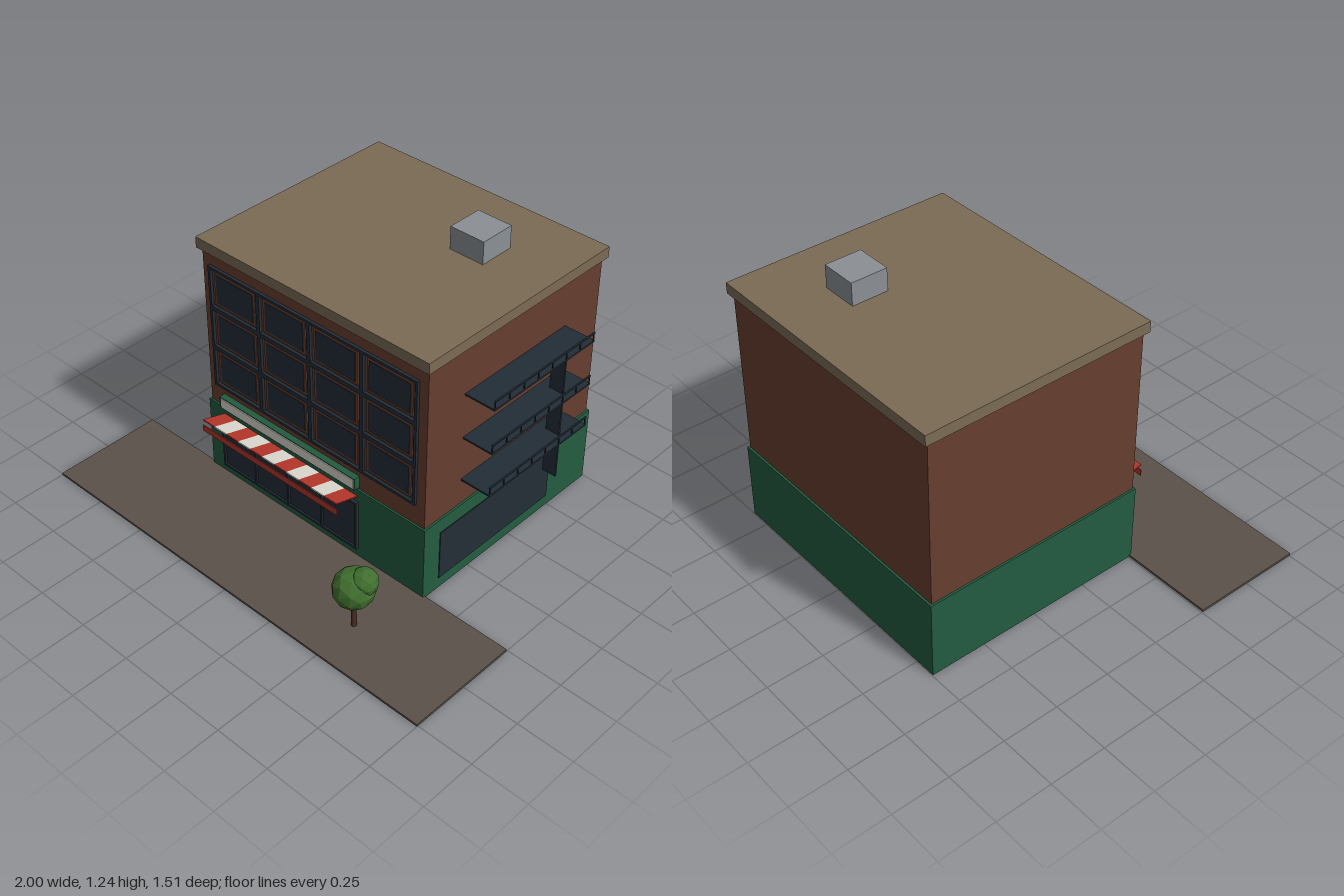
import * as THREE from 'three';

const mat = (name, color) => {
  const m = new THREE.MeshStandardMaterial({ color });
  m.name = name;
  return m;
};

export function createModel() {
  const brick = mat('brick', 0x673e2f);
  const green = mat('shop green', 0x235c40);
  const tan = mat('roof tan', 0x7b6b54);
  const paving = mat('paving', 0x5b514a);
  const slate = mat('dark slate', 0x232d37);
  const grey = mat('vent grey', 0x8b9095);
  const red = mat('awning red', 0xb5362b);
  const cream = mat('cream', 0xdcdacf);
  const bark = mat('bark', 0x4a3023);
  const leaf = mat('leaf', 0x41702f);
  leaf.flatShading = true;

  const model = new THREE.Group();
  model.name = 'cornerShopBuilding';
  const group = (name) => {
    const g = new THREE.Group();
    g.name = name;
    model.add(g);
    return g;
  };
  const add = (parent, name, geo, material) => {
    const m = new THREE.Mesh(geo, material);
    m.name = name;
    parent.add(m);
    return m;
  };
  // Box given by its extents on each axis
  const box = (parent, name, material, [x0, x1], [y0, y1], [z0, z1]) => {
    const m = add(parent, name, new THREE.BoxGeometry(x1 - x0, y1 - y0, z1 - z0), material);
    m.position.set((x0 + x1) / 2, (y0 + y1) / 2, (z0 + z1) / 2);
    return m;
  };

  // Pavement and main volumes
  box(model, 'pavement', paving, [-1, 1], [0, 0.01], [0.255, 0.755]);
  box(model, 'shopFloor', green, [-0.592, 0.592], [0, 0.35], [-0.747, 0.265]);
  box(model, 'upperFloors', brick, [-0.583, 0.583], [0.3, 1.09], [-0.738, 0.257]);
  box(model, 'roofSlab', tan, [-0.598, 0.598], [1.087, 1.135], [-0.757, 0.276]);
  box(model, 'roofVent', grey, [0.167, 0.33], [1.135, 1.235], [-0.49, -0.328]);

  // Upper windows: frame, brick surround and pane in a 4 x 3 grid
  const windows = group('windows');
  for (let col = 0; col < 4; col++) {
    for (let row = 0; row < 3; row++) {
      const cx = -0.407 + col * 0.27, cy = 0.547 + row * 0.19;
      const w = 0.138, h = 0.097, t = 0.012;
      for (const s of [-1, 1]) {
        const bar = (c, half) => (s < 0 ? [c - half, c - half + t] : [c + half - t, c + half]);
        box(windows, 'frameRail', slate, [cx - w, cx + w], bar(cy, h), [0.255, 0.27]);
        box(windows, 'frameStile', slate, bar(cx, w), [cy - h + t, cy + h - t], [0.255, 0.27]);
      }
      box(windows, 'surround', brick, [cx - 0.113, cx + 0.113], [cy - 0.077, cy + 0.077], [0.255, 0.261]);
      box(windows, 'pane', slate, [cx - 0.101, cx + 0.101], [cy - 0.065, cy + 0.065], [0.258, 0.264]);
    }
  }

  // Shop windows on the front and the side
  const shop = group('shopWindows');
  box(shop, 'frontGlass', slate, [-0.505, 0.247], [0.053, 0.287], [0.262, 0.27]);
  for (let i = 0; i <= 4; i++) {
    const x = -0.505 + i * 0.188;
    box(shop, 'mullion', slate, [x - 0.005, x + 0.005], [0.05, 0.29], [0.265, 0.278]);
  }
  for (const y of [0.05, 0.28])
    box(shop, 'shopRail', slate, [-0.51, 0.252], [y, y + 0.01], [0.265, 0.278]);
  box(shop, 'sideGlass', slate, [0.588, 0.596], [0.053, 0.285], [-0.49, 0.176]);

  // Blank sign board
  const sign = group('signBoard');
  box(sign, 'board', green, [-0.505, 0.25], [0.36, 0.415], [0.257, 0.285]);
  box(sign, 'face', cream, [-0.497, 0.244], [0.366, 0.411], [0.283, 0.289]);

  // Striped awning with a hanging front edge
  const awning = group('awning');
  const stripes = 11, width = 0.75 / stripes;
  const slope = Math.atan2(0.034, 0.115);
  for (let i = 0; i < stripes; i++) {
    const s = add(awning, 'stripe', new THREE.BoxGeometry(width, 0.005, 0.12), i % 2 ? cream : red);
    s.position.set(-0.502 + (i + 0.5) * width, 0.335, 0.325);
    s.rotation.x = -slope;
  }
  box(awning, 'valance', red, [-0.504, 0.25], [0.297, 0.326], [0.38, 0.384]);

  // Fire escape: three railed landings and a ladder
  const escape = group('fireEscape');
  for (const y of [0.468, 0.67, 0.872]) {
    box(escape, 'landing', slate, [0.583, 0.722], [y - 0.004, y + 0.004], [-0.533, 0.055]);
    box(escape, 'handrail', slate, [0.717, 0.723], [y + 0.034, y + 0.041], [-0.533, 0.055]);
    for (let i = 0; i < 8; i++) {
      const z = 0.052 - i * 0.083;
      box(escape, 'railPost', slate, [0.718, 0.722], [y, y + 0.038], [z - 0.002, z + 0.002]);
    }
  }
  box(escape, 'ladder', slate, [0.625, 0.69], [0.262, 0.876], [-0.412, -0.404]);

  // Street tree
  const tree = group('tree');
  add(tree, 'trunk', new THREE.CylinderGeometry(0.009, 0.012, 0.14, 8), bark).position.set(0.5, 0.075, 0.552);
  add(tree, 'crown', new THREE.IcosahedronGeometry(0.086, 1), leaf).position.set(0.5, 0.202, 0.552);
  add(tree, 'sideCrown', new THREE.IcosahedronGeometry(0.058, 1), leaf).position.set(0.533, 0.243, 0.533);

  return model;
}
